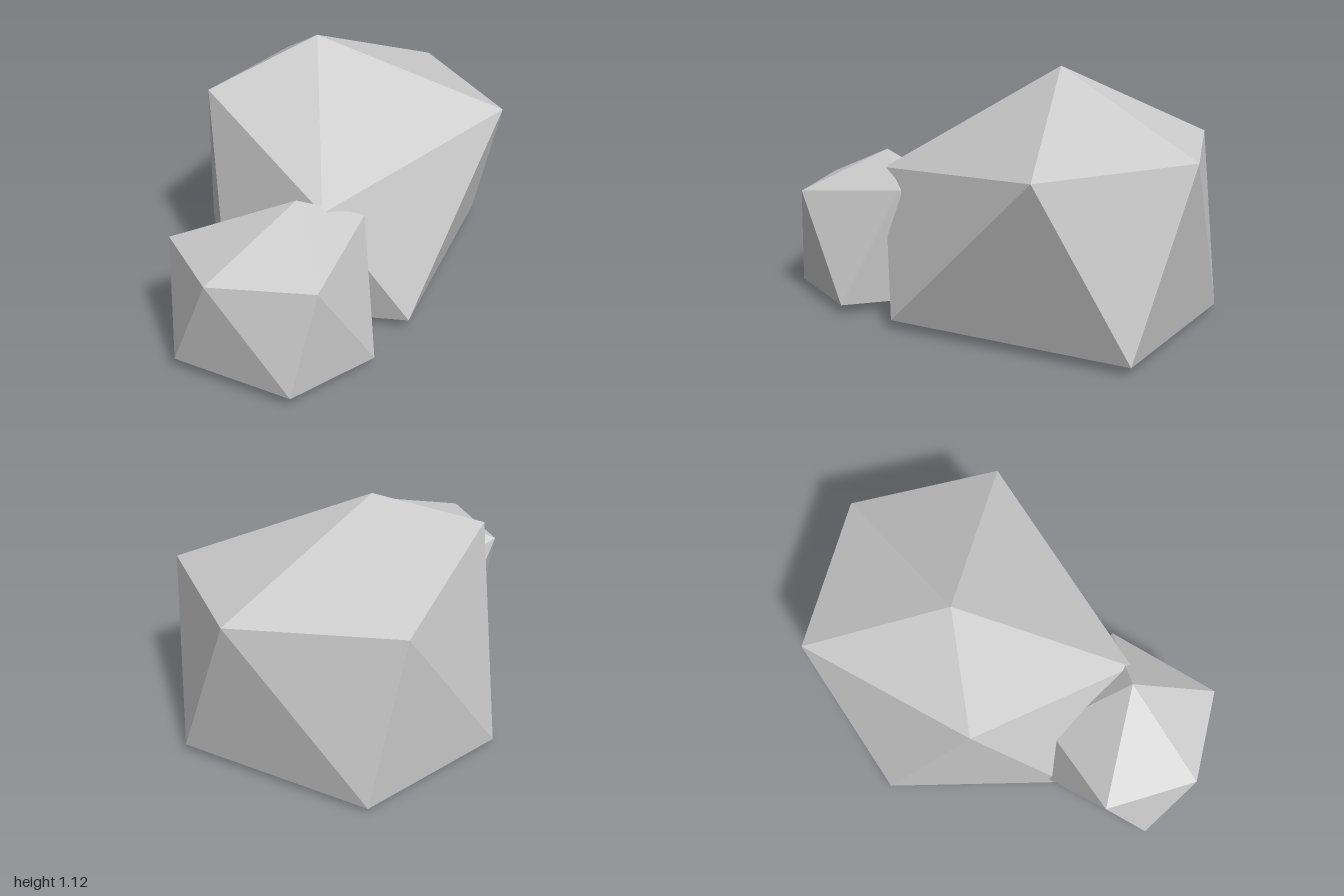
import * as THREE from 'three';

const material = new THREE.MeshStandardMaterial({ color: 0xcccccc, flatShading: true });

// Irregular 20-sided boulder: apex, two staggered rings of five corners, base point.
// Rings run counter-clockwise seen from above; lower[i] sits between upper[i] and upper[i + 1].
function makeRock(name, apex, upper, lower, base) {
  const corners = [];
  const n = upper.length;
  for (let i = 0; i < n; i++) {
    const j = (i + 1) % n;
    corners.push(apex, upper[i], upper[j]);
    corners.push(upper[i], lower[i], upper[j]);
    corners.push(upper[j], lower[i], lower[j]);
    corners.push(base, lower[j], lower[i]);
  }
  const geometry = new THREE.BufferGeometry();
  geometry.setAttribute('position', new THREE.Float32BufferAttribute(corners.flat(), 3));
  geometry.computeVertexNormals();
  const mesh = new THREE.Mesh(geometry, material);
  mesh.name = name;
  return mesh;
}

export function createModel() {
  const group = new THREE.Group();
  group.name = 'rocks';

  // Large boulder
  group.add(makeRock('largeRock',
    [0.19, 1.12, -0.10],
    [[0.66, 0.78, 0.63], [1.0, 0.81, 0.01], [0.62, 0.81, -0.62], [-0.23, 0.91, -0.40], [-0.44, 0.645, 0.41]],
    [[0.95, 0.04, 0.36], [0.77, 0.025, -0.53], [0.07, 0.03, -0.69], [-0.52, 0.03, -0.06], [-0.13, 0.045, 0.66]],
    [0.28, 0, -0.04]));

  // Small boulder leaning into its side
  group.add(makeRock('smallRock',
    [-0.51, 0.71, 0.33],
    [[-0.77, 0.52, 0.64], [-0.25, 0.58, 0.49], [-0.33, 0.44, -0.02], [-0.80, 0.51, -0.12], [-1.0, 0.52, 0.26]],
    [[-0.44, 0.045, 0.69], [-0.18, 0.05, 0.30], [-0.42, 0.05, -0.12], [-0.97, 0.055, 0.04], [-0.87, 0.05, 0.58]],
    [-0.55, 0.025, 0.28]));

  return group;
}
